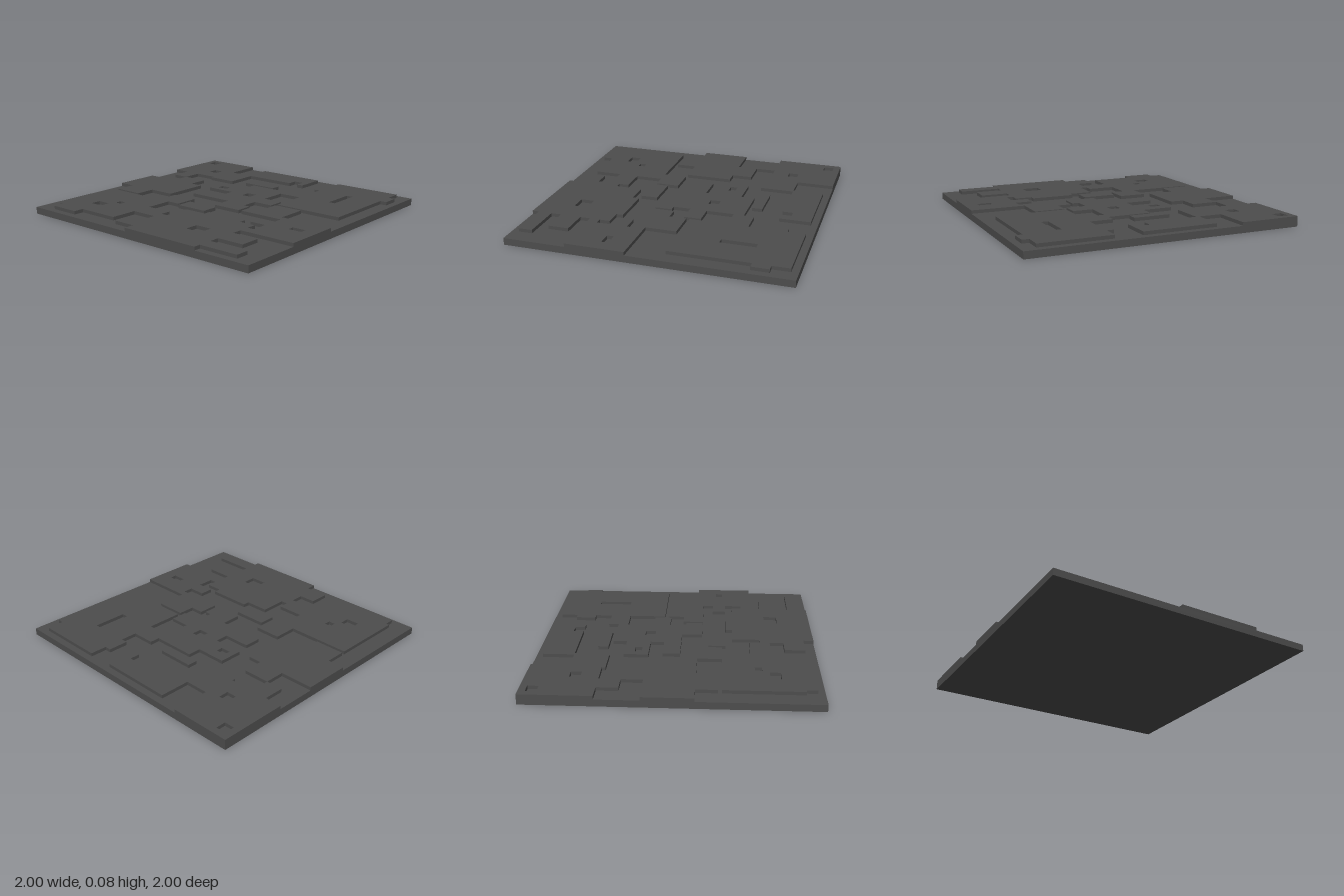
import * as THREE from 'three';

const U = 0.025;          // layout grid cell
const BASE = 0.05;        // slab thickness
const PLATE = 0.025;      // raised plate thickness

// Right-angled outline: start corner, then alternating new x and new z,
// returning along the last z to the starting x.
function outline(path, startX, startZ, turns) {
  let x = startX, z = startZ;
  path.moveTo(x * U, z * U);
  turns.forEach((v, i) => {
    if (i % 2) z = v; else x = v;
    path.lineTo(x * U, z * U);
  });
  path.lineTo(startX * U, z * U);
  path.closePath();
  return path;
}

export function createModel() {
  const group = new THREE.Group();
  group.name = 'panelTile';
  const darkGrey = new THREE.MeshStandardMaterial({ color: 0x4d4d4d });
  darkGrey.name = 'darkGrey';

  function addPart(name, geometry) {
    const mesh = new THREE.Mesh(geometry, darkGrey);
    mesh.name = name;
    group.add(mesh);
  }

  // Raised plate extruded and laid flat on the slab
  function addPlate(name, shape) {
    const geo = new THREE.ExtrudeGeometry(shape, { depth: PLATE, bevelEnabled: false });
    addPart(name, geo.rotateX(Math.PI / 2).translate(0, BASE + PLATE, 0));
  }

  // Rectangular recess through a plate: corner, width and depth
  function recess(shape, x, z, w, d) {
    shape.holes.push(outline(new THREE.Path(), x, z, [x + w, z + d]));
  }

  // Base slab
  addPart('baseSlab', new THREE.BoxGeometry(2, BASE, 2).translate(0, BASE / 2, 0));

  // Front plate, running off the front and right edges
  const front = outline(new THREE.Shape(), 40, 5, [
    24, -4, 15, 1, 11, 7, 25, 10, 20, 14, 25, 19, 23, 16, 18, 14, 5, 16,
    -2, 24, -4, 21, -12, 13, -8, 6, -16, 13, -35, 35, -34, 38, -25, 35,
    -12, 27, -4, 31, -9, 37, -2, 40, 23, 38, 35, 34, 23, 31, 31, 25, 23, 22]);
  recess(front, -23, 22, 2, 2);
  recess(front, -28, 26, 4, 3);
  recess(front, 11, 26, 5, 4);
  recess(front, 32, 11, 4, 2);
  addPlate('frontPlate', front);

  // Back corner plate with its hooked arm
  const corner = outline(new THREE.Shape(), -40, -40, [
    -22, -29, -15, -38, 7, -29, 5, -32, 2, -29, -14, -19, -23, -20,
    -30, -14, -35, -20]);
  recess(corner, -38, -38, 3, 3);
  recess(corner, -29, -28, 3, 3);
  addPlate('backCornerPlate', corner);

  // Side plate on the left edge of the layout
  addPlate('sidePlate', outline(new THREE.Shape(), -40, -8, [
    -30, -14, -22, -8, -18, 6, -26, 12, -35, 6]));

  // Large back plate reaching into the centre
  const centre = outline(new THREE.Shape(), 15, -38, [
    36, -33, 38, -28, 36, -5, 15, -16, 8, -8, 14, -3, 8, 2, 10, 7, 1, 1,
    -13, -4, -5, -8, -14, -15, -5, -19, 8, -22, 15, -27, 13, -33]);
  recess(centre, 25, -27, 2, 10);
  recess(centre, -12, -12, 3, 2);
  recess(centre, 0, -10, 3, 3);
  addPlate('centrePlate', centre);

  // Free-standing bars
  addPlate('backBar', outline(new THREE.Shape(), -9, -23, [2, -20]));
  addPlate('frontBar', outline(new THREE.Shape(), -7, 9, [3, 14]));

  return group;
}
